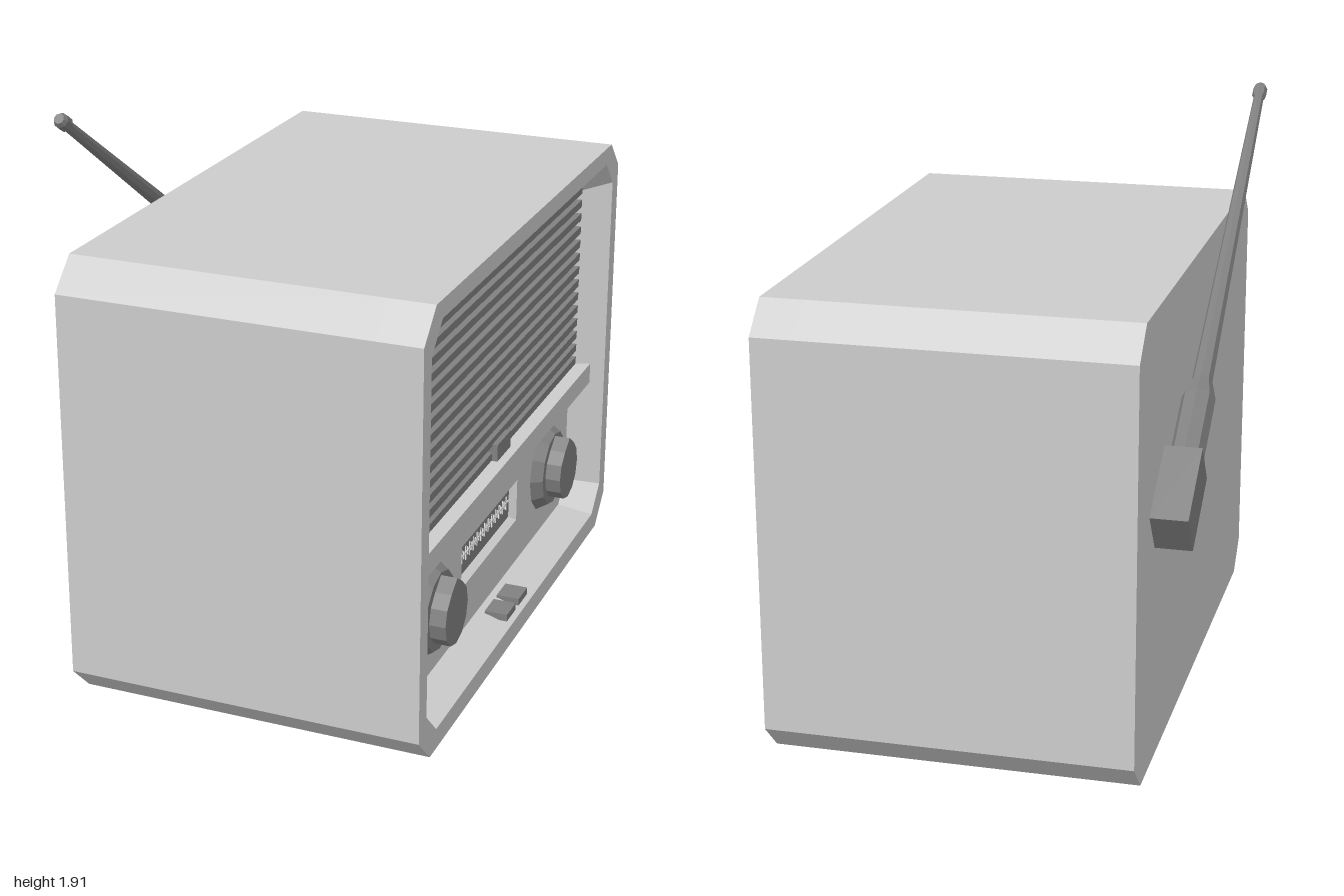
import * as THREE from 'three';

const mat = (name, color) => {
  const m = new THREE.MeshStandardMaterial({ color, flatShading: true, side: THREE.DoubleSide });
  m.name = name;
  return m;
};

// Rectangle outline with cut corners; u runs along -z, v is height
function outline(hw, y0, y1, c) {
  const p = c
    ? [[-hw + c, y0], [hw - c, y0], [hw, y0 + c], [hw, y1 - c], [hw - c, y1], [-hw + c, y1], [-hw, y1 - c], [-hw, y0 + c]]
    : [[-hw, y0], [hw, y0], [hw, y1], [-hw, y1]];
  return p.map(([u, v]) => new THREE.Vector2(u, v));
}

// Extrude an outline along +x from x0 to x1, with an optional hole
function slab(points, x0, x1, hole) {
  const shape = new THREE.Shape(points);
  if (hole) shape.holes.push(new THREE.Path(hole));
  return new THREE.ExtrudeGeometry(shape, { depth: x1 - x0, bevelEnabled: false })
    .rotateY(Math.PI / 2).translate(x0, 0, 0);
}

// Sloping recess walls between a front outline and a back outline
function walls(front, xf, back, xb) {
  const pos = [];
  const n = front.length;
  for (let i = 0; i < n; i++) {
    const j = (i + 1) % n;
    const f = (k) => [xf, front[k].y, -front[k].x];
    const b = (k) => [xb, back[k].y, -back[k].x];
    pos.push(...f(i), ...f(j), ...b(j), ...f(i), ...b(j), ...b(i));
  }
  const g = new THREE.BufferGeometry();
  g.setAttribute('position', new THREE.Float32BufferAttribute(pos, 3));
  g.computeVertexNormals();
  return g;
}

// Box given by its limits
const box = (x0, x1, y0, y1, z0, z1) =>
  new THREE.BoxGeometry(x1 - x0, y1 - y0, z1 - z0)
    .translate((x0 + x1) / 2, (y0 + y1) / 2, (z0 + z1) / 2);

export function createModel() {
  const light = mat('light grey casing', 0xcccccc);
  const dark = mat('dark grey fittings', 0x808080);
  const pale = mat('pale dial marks', 0xf2f2f2);
  const root = new THREE.Group();
  root.name = 'radio';
  const add = (name, geometry, material, parent = root) => {
    const mesh = new THREE.Mesh(geometry, material);
    mesh.name = name;
    parent.add(mesh);
    return mesh;
  };

  // Cabinet: solid body, panel with the dial hole, and the front rim
  const outer = outline(1, 0, 1.5, 0.1);
  const opening = outline(0.935, 0.07, 1.44, 0.09);
  const inner = outline(0.88, 0.107, 1.39, 0.075);
  const dialHole = outline(0.29, 0.27, 0.425, 0);
  const dialFloor = outline(0.277, 0.284, 0.413, 0);
  add('cabinet', slab(outer, -0.54, 0.51), light);
  add('frontPanel', slab(outer, 0.51, 0.54, dialHole), light);
  add('frontRim', slab(outer, 0.54, 0.66, opening), light);
  add('recessWalls', walls(opening, 0.66, inner, 0.54), light);

  // Dial with scale marks
  const dial = new THREE.Group();
  dial.name = 'dial';
  root.add(dial);
  add('dialWalls', walls(dialHole, 0.54, dialFloor, 0.513), light, dial);
  add('dialPlate', box(0.508, 0.514, 0.275, 0.42, -0.285, 0.285), dark, dial);
  add('scaleLine', box(0.514, 0.517, 0.347, 0.353, -0.27, 0.27), pale, dial);
  for (let i = 0; i < 27; i++) {
    const z = 0.255 - i * 0.0192;
    const h = i % 2 ? 0.014 : 0.025;
    add('scaleMark', box(0.514, 0.517, 0.35 - h, 0.35 + h, z - 0.003, z + 0.003), pale, dial);
  }

  // Speaker grille slats
  for (let i = 0; i < 14; i++) {
    const y = 0.666 + i * 0.0506;
    add('grilleSlat', box(0.53, 0.563, y - 0.0135, y + 0.0135, -0.885, 0.885), dark);
  }

  // Shelf, slider and the two buttons on the recess floor
  add('shelf', box(0.53, 0.612, 0.575, 0.65, -0.91, 0.91), light);
  add('slider', box(0.53, 0.582, 0.65, 0.71, -0.068, 0.068), dark);
  for (const s of [-1, 1]) {
    add('button', box(0.565, 0.645, 0.083, 0.108, s * 0.063 - 0.047, s * 0.063 + 0.047), dark);
  }

  // Knobs: faceted skirt with a pointed cap
  const capPoints = [];
  for (let i = 0; i < 12; i++) {
    const a = Math.PI / 2 + (i * Math.PI) / 6;
    const r = i ? 0.105 : 0.127;
    capPoints.push(new THREE.Vector2(Math.cos(a) * r, Math.sin(a) * r));
  }
  for (const z of [-0.6, 0.6]) {
    const knob = new THREE.Group();
    knob.name = 'knob';
    knob.position.set(0.54, 0.35, z);
    root.add(knob);
    add('knobSkirt', new THREE.CylinderGeometry(0.135, 0.16, 0.04, 12)
      .rotateZ(-Math.PI / 2).translate(0.02, 0, 0), dark, knob);
    add('knobCap', slab(capPoints, 0.03, 0.095), dark, knob);
  }

  // Tilted aerial on the back, built upright along y
  const aerial = new THREE.Group();
  aerial.name = 'aerial';
  aerial.position.set(-0.6, 0.875, -0.66);
  aerial.rotation.x = THREE.MathUtils.degToRad(55.3);
  root.add(aerial);
  add('aerialBlock', new THREE.BoxGeometry(0.12, 0.277, 0.16), dark, aerial);
  const profile = [[0, 0.1], [0.055, 0.1], [0.055, 0.39], [0.034, 0.46], [0.018, 1.74],
    [0.025, 1.75], [0.025, 1.785], [0.017, 1.8], [0, 1.8]];
  add('aerialRod', new THREE.LatheGeometry(profile.map(([r, y]) => new THREE.Vector2(r, y)), 8), dark, aerial);

  return root;
}
